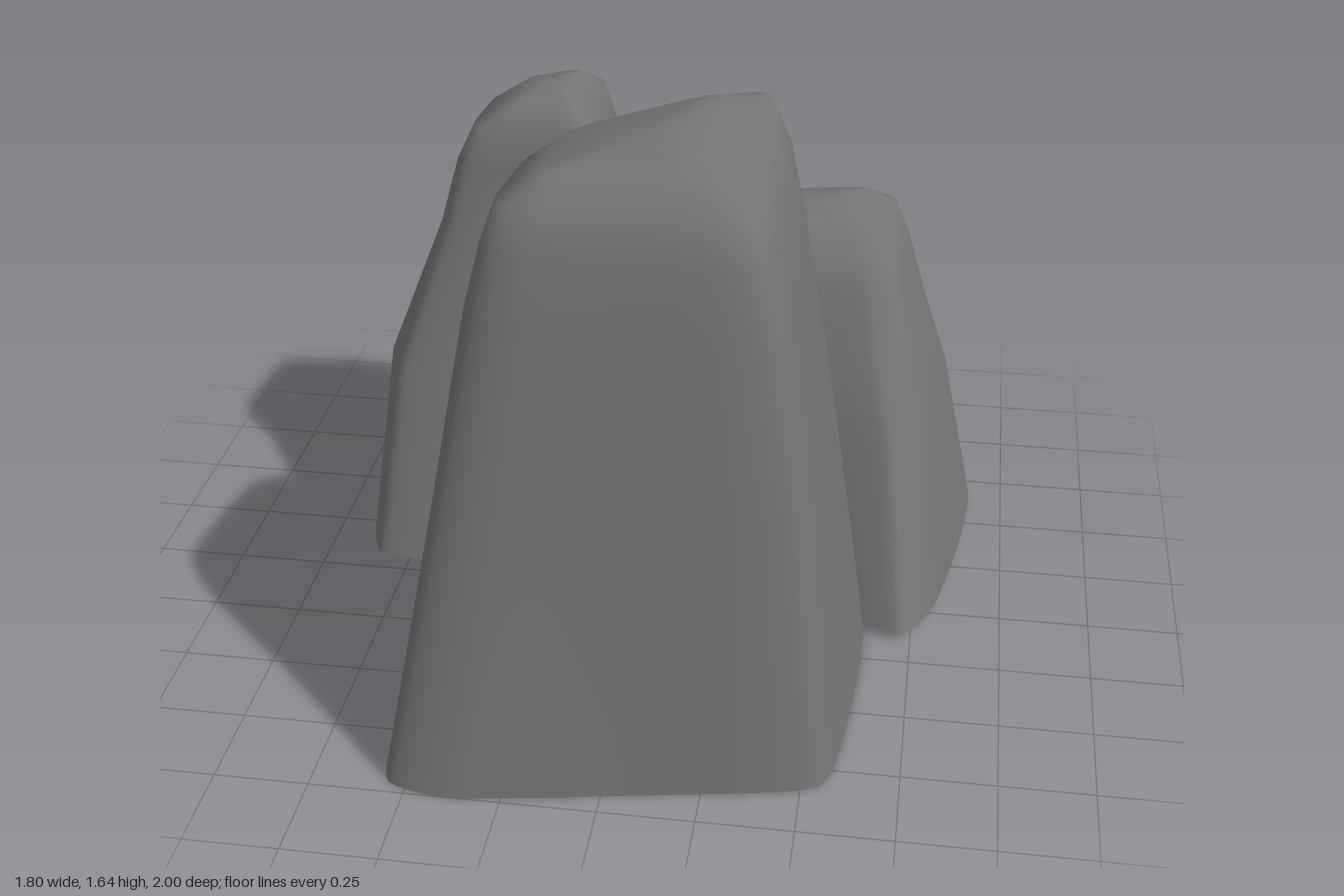
import * as THREE from 'three';

const SEGMENTS = 72;
const material = new THREE.MeshStandardMaterial({ color: 0x747474, side: THREE.DoubleSide });

// Lofts a footprint [x, z] upward through bounding boxes [y, x0, x1, z0, z1].
// The section grows squarer with height and the crown is tilted by
// slope [dy/dx, dy/dz, twist]. The underside stays open.
function rock(name, footprint, levels, peak, slope) {
  const curve = new THREE.CatmullRomCurve3(
    footprint.map(([x, z]) => new THREE.Vector3(x, 0, z)), true, 'catmullrom', 0.3);
  const outline = Array.from({ length: SEGMENTS }, (_, i) => curve.getPoint(i / SEGMENTS));
  const box = new THREE.Box3().setFromPoints(outline);
  const size = box.getSize(new THREE.Vector3());
  const positions = [], index = [];

  for (const [y, x0, x1, z0, z1] of levels) {
    const rise = y / peak, tilt = rise ** 3;
    for (const p of outline) {
      const u = (p.x - box.min.x) / size.x - 0.5, v = (p.z - box.min.z) / size.z - 0.5;
      const square = 0.5 / (Math.abs(u) ** 6 + Math.abs(v) ** 6) ** (1 / 6);
      const scale = THREE.MathUtils.lerp(1, square, rise);
      const dx = u * scale * (x1 - x0), dz = v * scale * (z1 - z0);
      const lift = slope[0] * dx + slope[1] * dz + slope[2] * dx * dz;
      positions.push((x0 + x1) / 2 + dx, y + tilt * lift, (z0 + z1) / 2 + dz);
    }
  }

  // Walls
  for (let r = 0; r < levels.length - 1; r++) {
    for (let i = 0; i < SEGMENTS; i++) {
      const a = r * SEGMENTS + i, b = r * SEGMENTS + (i + 1) % SEGMENTS;
      index.push(a, b, b + SEGMENTS, a, b + SEGMENTS, a + SEGMENTS);
    }
  }

  // Crown
  const [, x0, x1, z0, z1] = levels[levels.length - 1];
  const centre = positions.length / 3, rim = centre - SEGMENTS;
  positions.push((x0 + x1) / 2, peak, (z0 + z1) / 2);
  for (let i = 0; i < SEGMENTS; i++) index.push(rim + i, rim + (i + 1) % SEGMENTS, centre);

  const geometry = new THREE.BufferGeometry();
  geometry.setAttribute('position', new THREE.Float32BufferAttribute(positions, 3));
  geometry.setIndex(index);
  geometry.computeVertexNormals();
  const mesh = new THREE.Mesh(geometry, material);
  mesh.name = name;
  return mesh;
}

export function createModel() {
  const group = new THREE.Group();
  group.name = 'rockCluster';

  // Tall rock at the front
  group.add(rock('tallFrontRock',
    [[-0.55, 0.96], [-0.36, 1], [0.1, 0.92], [0.53, 0.83], [0.59, 0.65], [0.62, 0.25], [0.6, -0.02], [0.48, -0.22],
      [0, -0.34], [-0.38, -0.29], [-0.51, -0.22], [-0.53, 0.35], [-0.58, 0.75]],
    [[0.01, -0.58, 0.62, -0.34, 1], [0.72, -0.465, 0.515, -0.14, 0.84], [1.22, -0.385, 0.42, -0.04, 0.745],
      [1.4, -0.345, 0.38, 0.03, 0.695], [1.51, -0.31, 0.335, 0.09, 0.655], [1.58, -0.2, 0.22, 0.21, 0.56]],
    1.585, [0.19, -0.08, -0.75]));

  // Medium rock, back on the -x side
  group.add(rock('mediumBackRock',
    [[-0.84, -0.07], [-0.67, -0.06], [-0.45, -0.09], [-0.07, -0.12], [0.01, -0.24], [-0.03, -0.6], [-0.02, -0.87],
      [-0.04, -0.99], [-0.46, -1], [-0.74, -0.96], [-0.84, -0.9], [-0.88, -0.52], [-0.9, -0.23]],
    [[0.01, -0.9, 0.01, -1, -0.06], [0.58, -0.84, -0.09, -0.91, -0.2], [0.98, -0.69, -0.18, -0.85, -0.31],
      [1.17, -0.64, -0.22, -0.81, -0.34], [1.28, -0.59, -0.25, -0.77, -0.37], [1.345, -0.48, -0.31, -0.69, -0.44]],
    1.36, [0.16, 0.04, -0.5]));

  // Low rock, back on the +x side
  group.add(rock('lowBackRock',
    [[-0.06, -0.35], [0.1, -0.13], [0.4, 0.02], [0.62, 0.12], [0.73, 0.15], [0.81, 0], [0.87, -0.3],
      [0.9, -0.56], [0.89, -0.7], [0.74, -0.77], [0.42, -0.83], [0.13, -0.87], [-0.02, -0.87], [-0.05, -0.6]],
    [[0.035, -0.06, 0.9, -0.88, 0.15], [0.5, 0.03, 0.8, -0.79, -0.06], [0.7, 0.07, 0.73, -0.75, -0.15],
      [0.9, 0.12, 0.67, -0.7, -0.24], [1, 0.17, 0.63, -0.66, -0.3], [1.055, 0.25, 0.55, -0.59, -0.4]],
    1.07, [0.06, -0.1, -0.4]));

  return group;
}
